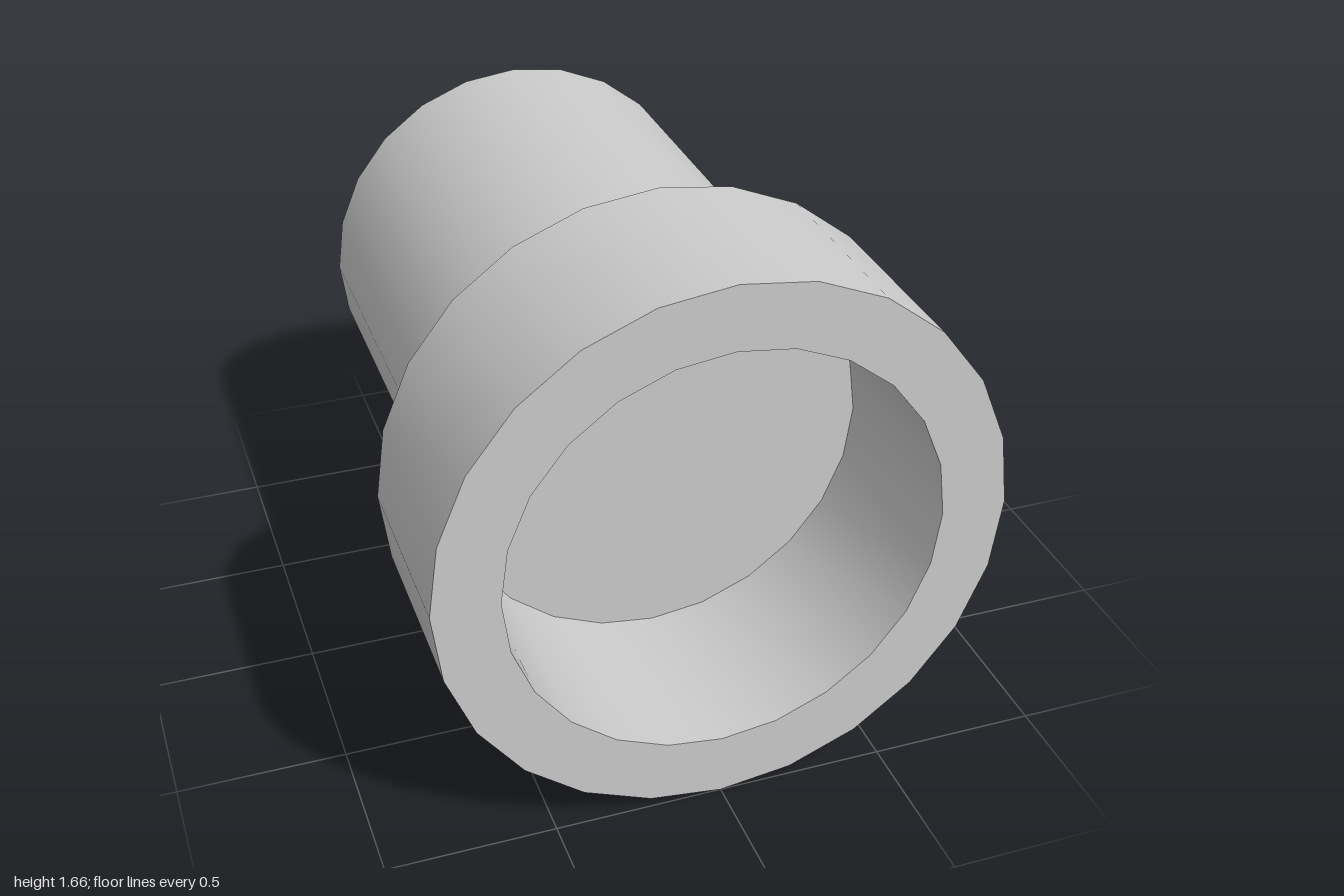
import * as THREE from 'three';
import { toCreasedNormals } from 'three/addons/utils/BufferGeometryUtils.js';

const SIDES = 24;
const COLLAR_RADIUS = 0.832, SHAFT_RADIUS = 0.639;
const FRONT = 1, STEP = 0.41, BACK = -1;

export function createModel() {
  const group = new THREE.Group();
  group.name = 'collaredShaft';
  const material = new THREE.MeshStandardMaterial({ color: 0xcccccc });

  // Each part is turned about y, then laid along z at the axis height
  const add = (name, geometry) => {
    geometry.rotateX(Math.PI / 2).translate(0, COLLAR_RADIUS, 0);
    const mesh = new THREE.Mesh(geometry, material);
    mesh.name = name;
    group.add(mesh);
  };

  // Solid shaft; its front cap is the floor of the socket
  const shaft = new THREE.CylinderGeometry(SHAFT_RADIUS, SHAFT_RADIUS, STEP - BACK, SIDES);
  add('shaft', shaft.translate(0, (STEP + BACK) / 2, 0));

  // Wider ring at the front, open as a socket
  const profile = [
    [SHAFT_RADIUS, STEP], [COLLAR_RADIUS, STEP],
    [COLLAR_RADIUS, FRONT], [SHAFT_RADIUS, FRONT], [SHAFT_RADIUS, STEP],
  ].map(([r, z]) => new THREE.Vector2(r, z));
  add('collar', toCreasedNormals(new THREE.LatheGeometry(profile, SIDES), Math.PI / 5));

  return group;
}
